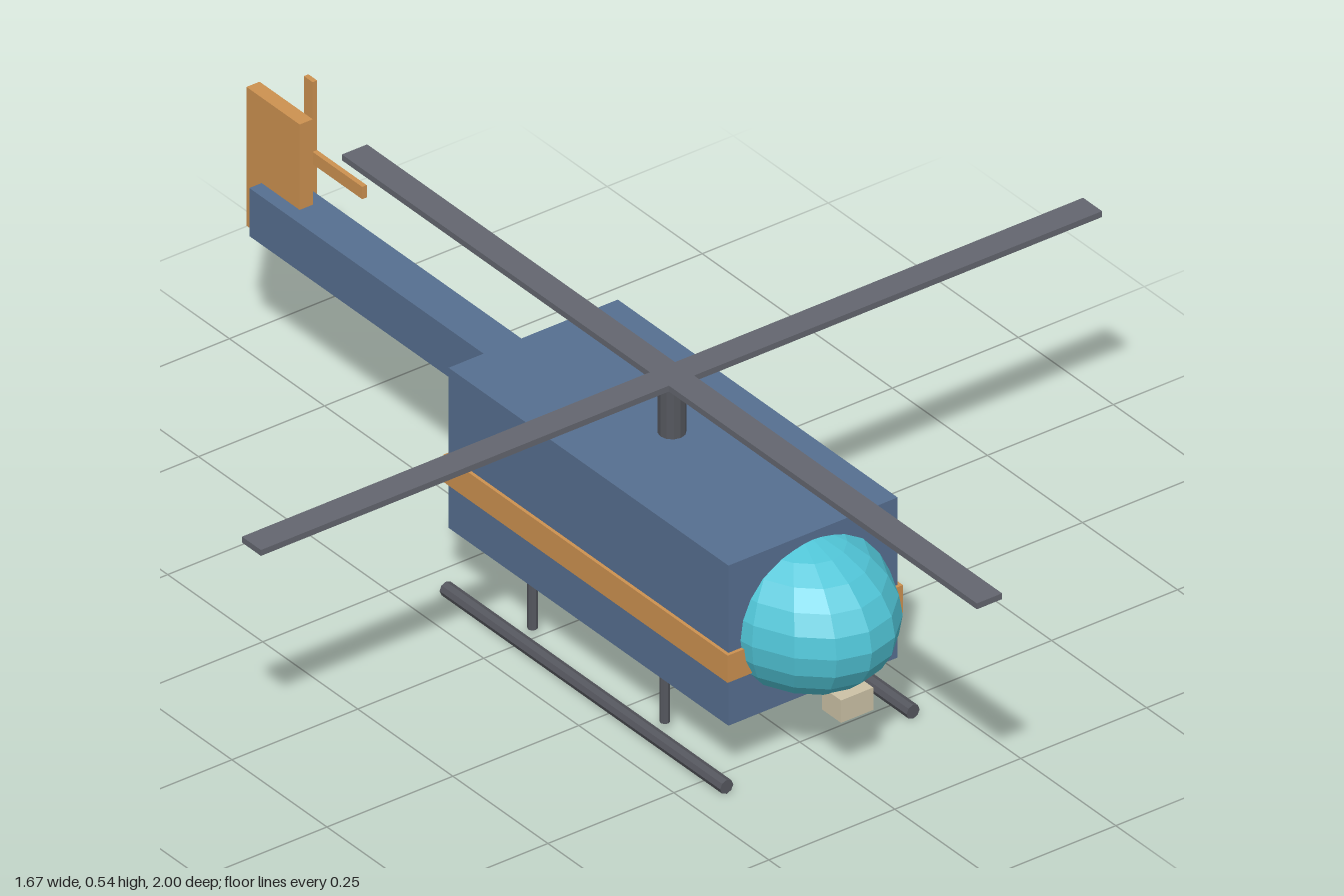
import * as THREE from 'three';

export function createModel() {
  const model = new THREE.Group();
  model.name = 'helicopter';

  const material = (name, color) => {
    const m = new THREE.MeshStandardMaterial({ color });
    m.name = name;
    m.flatShading = true;
    return m;
  };
  const blue = material('bodyBlue', 0x566f90);
  const orange = material('trimOrange', 0xcc9150);
  const teal = material('glassTeal', 0x50c4d6);
  const grey = material('rotorGrey', 0x63666f);
  const dark = material('metalGrey', 0x55575e);
  const beige = material('sensorBeige', 0xccc2a6);

  const add = (name, geometry, mat, x, y, z, parent = model) => {
    const mesh = new THREE.Mesh(geometry, mat);
    mesh.name = name;
    mesh.position.set(x, y, z);
    parent.add(mesh);
    return mesh;
  };
  const box = (name, w, h, d, mat, x, y, z, parent) =>
    add(name, new THREE.BoxGeometry(w, h, d), mat, x, y, z, parent);

  // Fuselage with a band running all the way round
  box('fuselage', 0.336, 0.3, 0.736, blue, 0, 0.263, 0.167);
  box('band', 0.348, 0.051, 0.748, orange, 0, 0.224, 0.167);

  // Faceted nose canopy and the sensor below it
  const canopy = add('canopy', new THREE.SphereGeometry(1, 16, 12), teal, 0, 0.263, 0.48);
  canopy.scale.set(0.152, 0.14, 0.21);
  box('chinSensor', 0.064, 0.042, 0.05, beige, 0, 0.146, 0.626);

  // Tail boom and fin
  box('tailBoom', 0.075, 0.09, 0.72, blue, 0, 0.304, -0.538);
  box('tailFin', 0.026, 0.26, 0.14, orange, 0, 0.379, -0.868);

  // Main rotor
  add('mast', new THREE.CylinderGeometry(0.023, 0.023, 0.11, 12), dark, 0, 0.46, 0.164);
  const rotor = new THREE.Group();
  rotor.name = 'mainRotor';
  rotor.position.set(0, 0.516, 0.164);
  model.add(rotor);
  box('crossBlade', 1.67, 0.011, 0.05, grey, 0, 0, 0, rotor);
  box('longBlade', 0.05, 0.011, 1.67, grey, 0, 0, 0, rotor);

  // Tail rotor on the left of the fin
  const tailRotor = new THREE.Group();
  tailRotor.name = 'tailRotor';
  tailRotor.position.set(0.053, 0.399, -0.857);
  model.add(tailRotor);
  box('uprightBlade', 0.009, 0.284, 0.023, orange, 0, 0, 0, tailRotor);
  box('levelBlade', 0.009, 0.023, 0.284, orange, 0, 0, 0, tailRotor);

  // Landing skids and their struts
  for (const side of [-1, 1]) {
    const label = side > 0 ? 'left' : 'right';
    const skid = add(label + 'Skid', new THREE.CylinderGeometry(0.013, 0.013, 0.738, 8), dark,
      side * 0.185, 0.014, 0.184);
    skid.rotation.x = Math.PI / 2;
    for (const [end, z] of [['Front', 0.34], ['Rear', -0.008]]) {
      add(label + end + 'Strut', new THREE.CylinderGeometry(0.0085, 0.0085, 0.11, 8), dark,
        side * 0.147, 0.07, z);
    }
  }
  return model;
}
